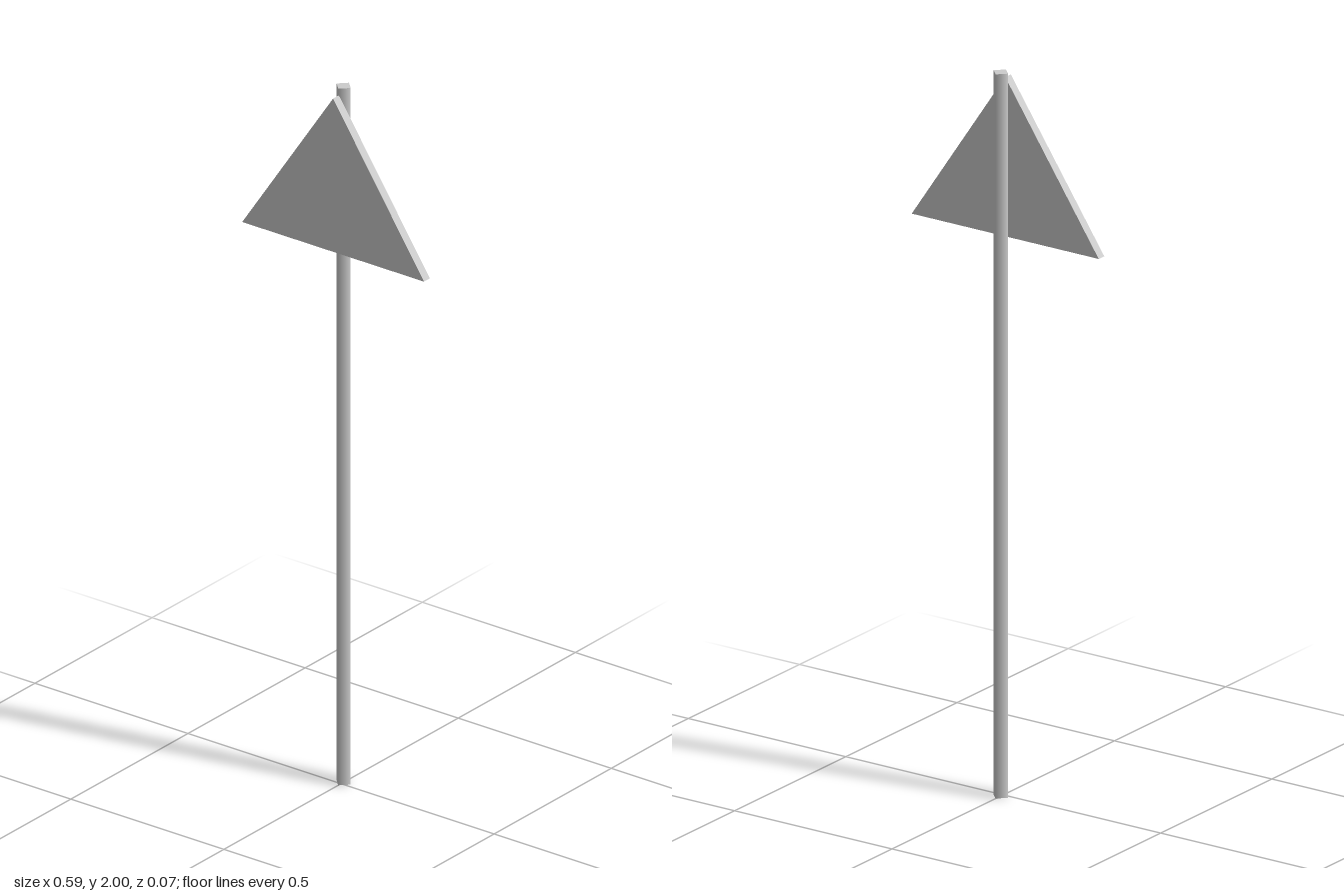
import * as THREE from 'three';

export function createModel() {
  const group = new THREE.Group();
  const material = new THREE.MeshStandardMaterial({ color: 0xcccccc });

  // Four-sided pole, one corner facing forward, softly shaded
  const pole = new THREE.Mesh(new THREE.CylinderGeometry(0.023, 0.023, 2, 4), material);
  pole.name = 'pole';
  pole.position.set(0, 1, -0.011);
  group.add(pole);

  // Flat triangular sign plate on the front of the pole
  const outline = new THREE.Shape();
  outline.moveTo(-0.297, 1.54);
  outline.lineTo(0.297, 1.54);
  outline.lineTo(0, 1.98);
  outline.closePath();
  const plate = new THREE.Mesh(
    new THREE.ExtrudeGeometry(outline, { depth: 0.025, bevelEnabled: false }),
    material
  );
  plate.name = 'signPlate';
  plate.position.z = 0.009;
  group.add(plate);

  return group;
}
